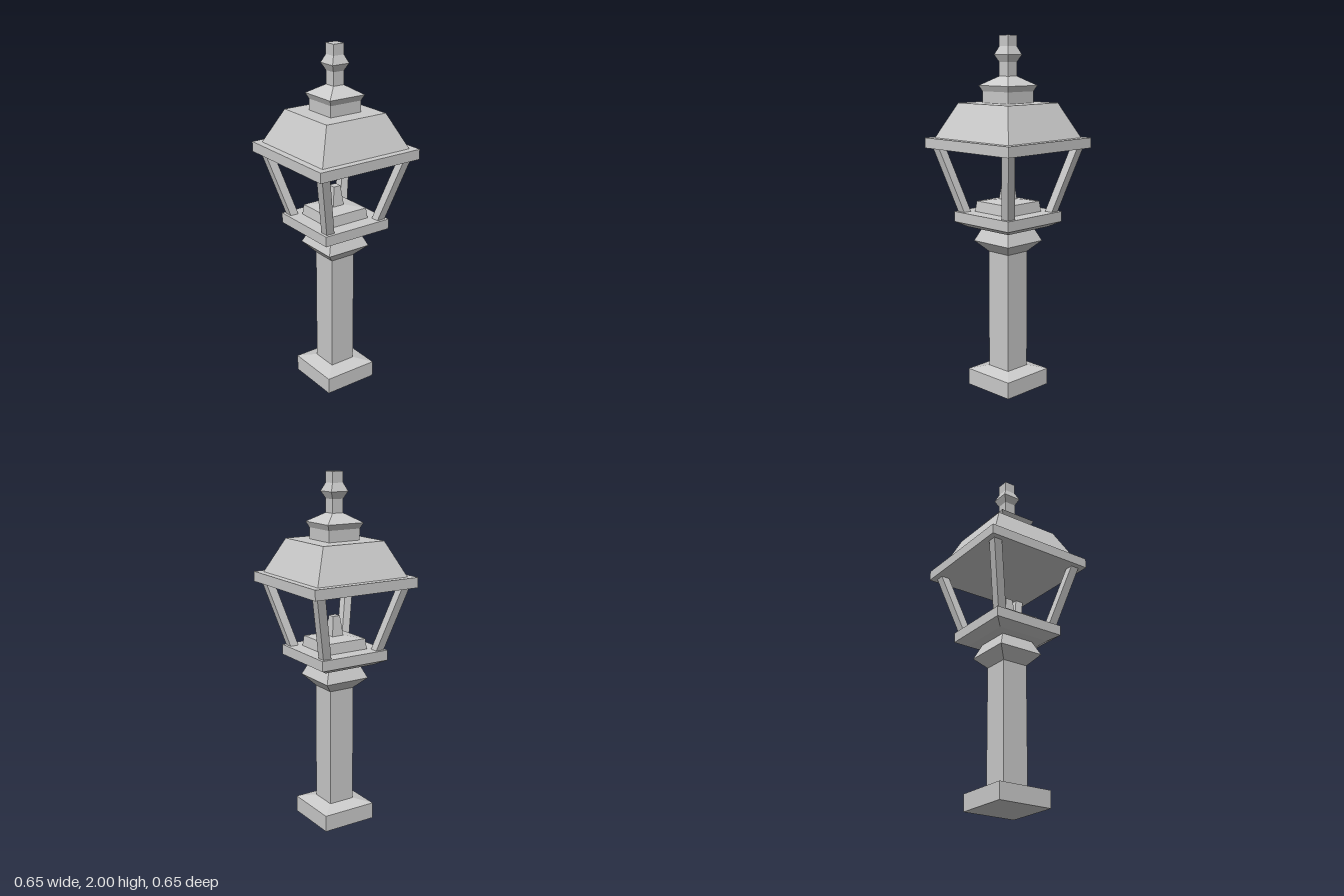
import * as THREE from 'three';

const material = new THREE.MeshStandardMaterial({ color: 0xcccccc, flatShading: true });

// Square-section solid from [half width, height] pairs, bottom to top, closed at both ends
function squareLoft(name, profile) {
  const points = [[0, profile[0][1]], ...profile, [0, profile[profile.length - 1][1]]]
    .map(([half, y]) => new THREE.Vector2(half * Math.SQRT2, y));
  const geometry = new THREE.LatheGeometry(points, 4, Math.PI / 4).toNonIndexed();
  geometry.computeVertexNormals();
  const mesh = new THREE.Mesh(geometry, material);
  mesh.name = name;
  return mesh;
}

// Square bar leaning outward along the diagonal, with level ends
function cornerBar(sx, sz) {
  const bottom = 1.025, top = 1.39;
  const geometry = new THREE.BoxGeometry(0.05, top - bottom, 0.05).toNonIndexed();
  const p = geometry.attributes.position;
  for (let i = 0; i < p.count; i++) {
    const upper = p.getY(i) > 0;
    const offset = upper ? 0.27 : 0.172;
    p.setXYZ(i, p.getX(i) + sx * offset, upper ? top : bottom, p.getZ(i) + sz * offset);
  }
  geometry.computeVertexNormals();
  const mesh = new THREE.Mesh(geometry, material);
  mesh.name = 'cornerBar';
  return mesh;
}

export function createModel() {
  const model = new THREE.Group();
  model.name = 'lampPost';

  // Column
  model.add(squareLoft('base', [[0.162, 0], [0.162, 0.095], [0.078, 0.117]]));
  model.add(squareLoft('post', [[0.077, 0.11], [0.077, 0.8]]));
  model.add(squareLoft('collar', [[0.077, 0.798], [0.136, 0.86], [0.1, 0.94]]));

  // Lantern floor, burner and flame tube
  model.add(squareLoft('tray', [[0.16, 0.94], [0.214, 0.97], [0.214, 1.028]]));
  model.add(squareLoft('burner', [[0.131, 1.028], [0.124, 1.087], [0.038, 1.1]]));
  model.add(squareLoft('candle', [[0.036, 1.097], [0.022, 1.212]]));

  // Four leaning bars
  const bars = new THREE.Group();
  bars.name = 'lanternFrame';
  for (const sx of [-1, 1]) for (const sz of [-1, 1]) bars.add(cornerBar(sx, sz));
  model.add(bars);

  // Roof, vent and finial
  model.add(squareLoft('eave', [[0.326, 1.386], [0.326, 1.443]]));
  model.add(squareLoft('roof', [[0.286, 1.443], [0.194, 1.635]]));
  model.add(squareLoft('vent', [[0.099, 1.635], [0.099, 1.7]]));
  model.add(squareLoft('ventCap', [[0.099, 1.698], [0.114, 1.73], [0.034, 1.78]]));
  model.add(squareLoft('finial', [
    [0.034, 1.778], [0.034, 1.855], [0.054, 1.895], [0.034, 1.94], [0.034, 2],
  ]));
  return model;
}
